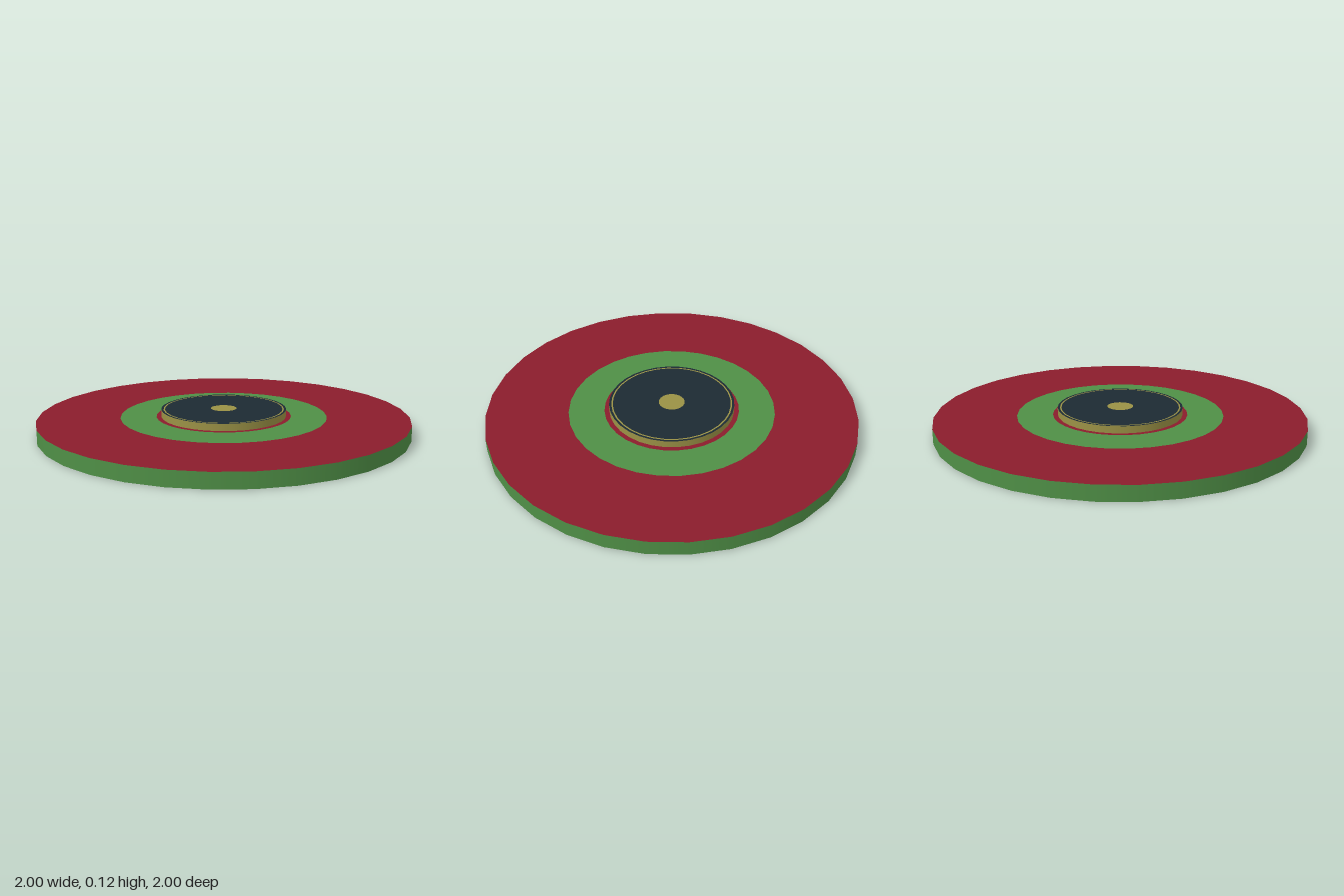
import * as THREE from 'three';

const SIDES = 32;
const RED = 0x8b1c2c, GREEN = 0x4f8f46, GOLD = 0x9a9145, NAVY = 0x1c2a33;
const BASE_TOP = 0.08, HUB_TOP = 0.118, HUB_R = 0.338;

export function createModel() {
  const model = new THREE.Group();
  const materials = new Map();

  const add = (name, geometry, color, y) => {
    if (!materials.has(color)) materials.set(color, new THREE.MeshStandardMaterial({ color }));
    const mesh = new THREE.Mesh(geometry, materials.get(color));
    mesh.name = name;
    mesh.position.y = y;
    model.add(mesh);
  };

  // Flat upward-facing band between two radii
  const band = (name, inner, outer, color, y) => {
    const geometry = inner > 0
      ? new THREE.RingGeometry(inner, outer, SIDES)
      : new THREE.CircleGeometry(outer, SIDES);
    add(name, geometry.rotateX(-Math.PI / 2), color, y);
  };

  // Upright wall around a disc
  const wall = (name, radius, bottom, top, color) =>
    add(name, new THREE.CylinderGeometry(radius, radius, top - bottom, SIDES, 1, true), color, (top + bottom) / 2);

  // Base disc
  wall('baseRim', 1, 0, BASE_TOP, GREEN);
  add('baseUnderside', new THREE.CircleGeometry(1, SIDES).rotateX(Math.PI / 2), GREEN, 0);
  band('outerBand', 0.557, 1, RED, BASE_TOP);
  band('middleBand', 0.364, 0.557, GREEN, BASE_TOP);
  band('innerBand', HUB_R, 0.364, RED, BASE_TOP);

  // Raised hub with a thin inlaid ring and a centre spot
  wall('hubRim', HUB_R, BASE_TOP, HUB_TOP, GOLD);
  band('hubEdge', 0.326, HUB_R, NAVY, HUB_TOP);
  band('hubInlay', 0.318, 0.326, GOLD, HUB_TOP);
  band('hubFace', 0.07, 0.318, NAVY, HUB_TOP);
  band('centreSpot', 0, 0.07, GOLD, HUB_TOP);

  return model;
}
